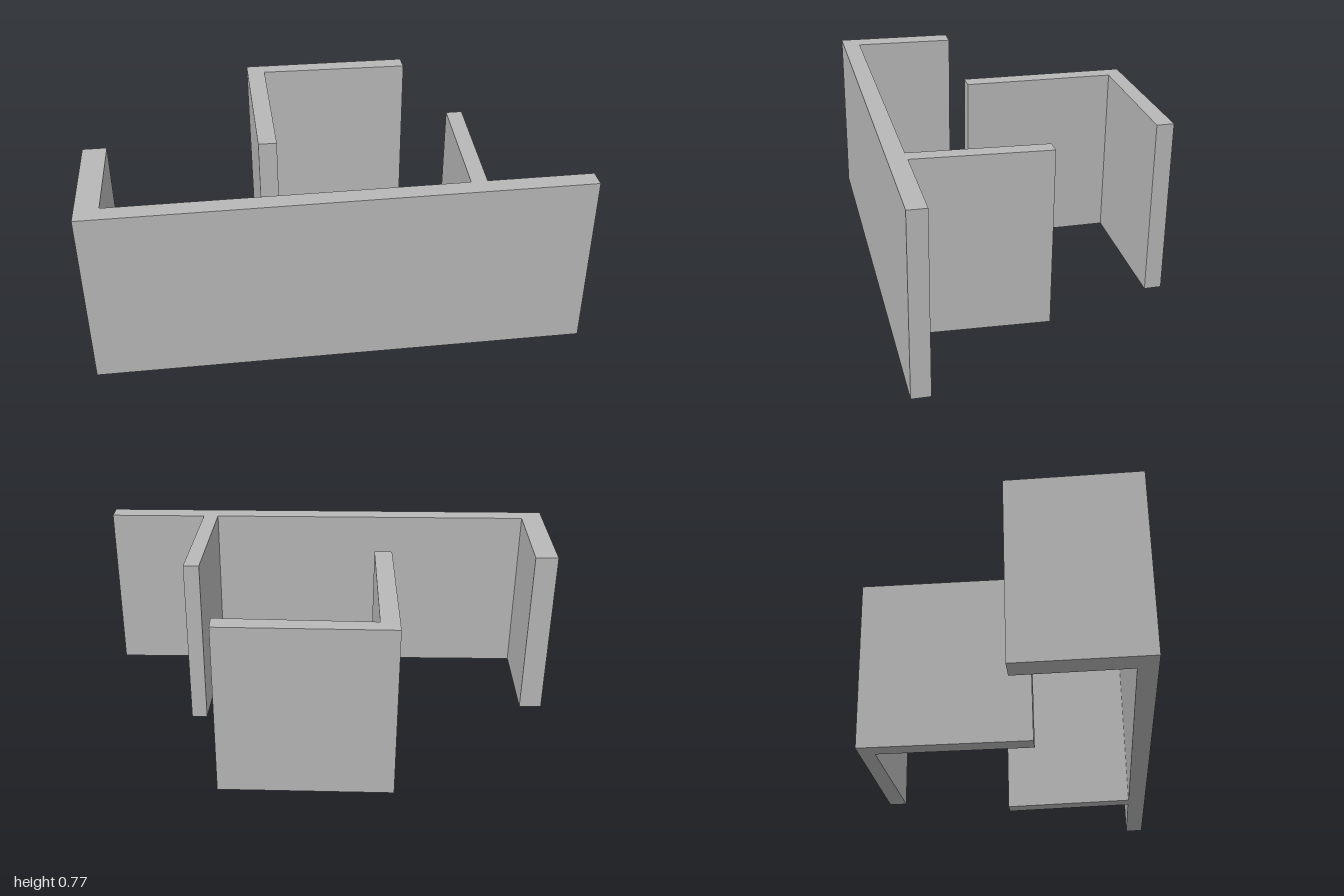
import * as THREE from 'three';

const HEIGHT = 0.748;

// Extrude a plan outline of [x, z] points upward, then lean it slightly.
function wall(name, plan, material) {
  const shape = new THREE.Shape(plan.map(([x, z]) => new THREE.Vector2(x, -z)));
  const geo = new THREE.ExtrudeGeometry(shape, { depth: HEIGHT, bevelEnabled: false });
  geo.rotateX(-Math.PI / 2);
  const p = geo.attributes.position;
  for (let i = 0; i < p.count; i++) {
    const x = p.getX(i), y = p.getY(i), z = p.getZ(i);
    const drop = 1 - y / HEIGHT; // 0 at the top, 1 at the foot
    p.setXYZ(i, x + 0.005 * drop, y + 0.012 + 0.004 * x + 0.0155 * z, z + 0.012 * drop);
  }
  geo.computeVertexNormals();
  const mesh = new THREE.Mesh(geo, material);
  mesh.name = name;
  return mesh;
}

export function createModel() {
  const model = new THREE.Group();
  model.name = 'partitionWalls';
  const grey = new THREE.MeshStandardMaterial({ color: 0xb8b8b8 });
  grey.name = 'wall grey';

  // Long front wall with a return at one end and a slightly skewed inner fin
  model.add(wall('frontWall', [
    [-1, 0.592], [0.994, 0.576], [0.994, 0.5], [0.57, 0.503], [0.592, -0.055],
    [0.525, -0.055], [0.505, 0.505], [-0.905, 0.515], [-0.902, 0.07], [-1, 0.07],
  ], grey));

  // Free-standing L-shaped wall at the back
  model.add(wall('backCornerWall', [
    [-0.3, -0.603], [-0.29, 0.117], [-0.214, 0.117], [-0.222, -0.537],
    [0.422, -0.523], [0.42, -0.597],
  ], grey));

  return model;
}
